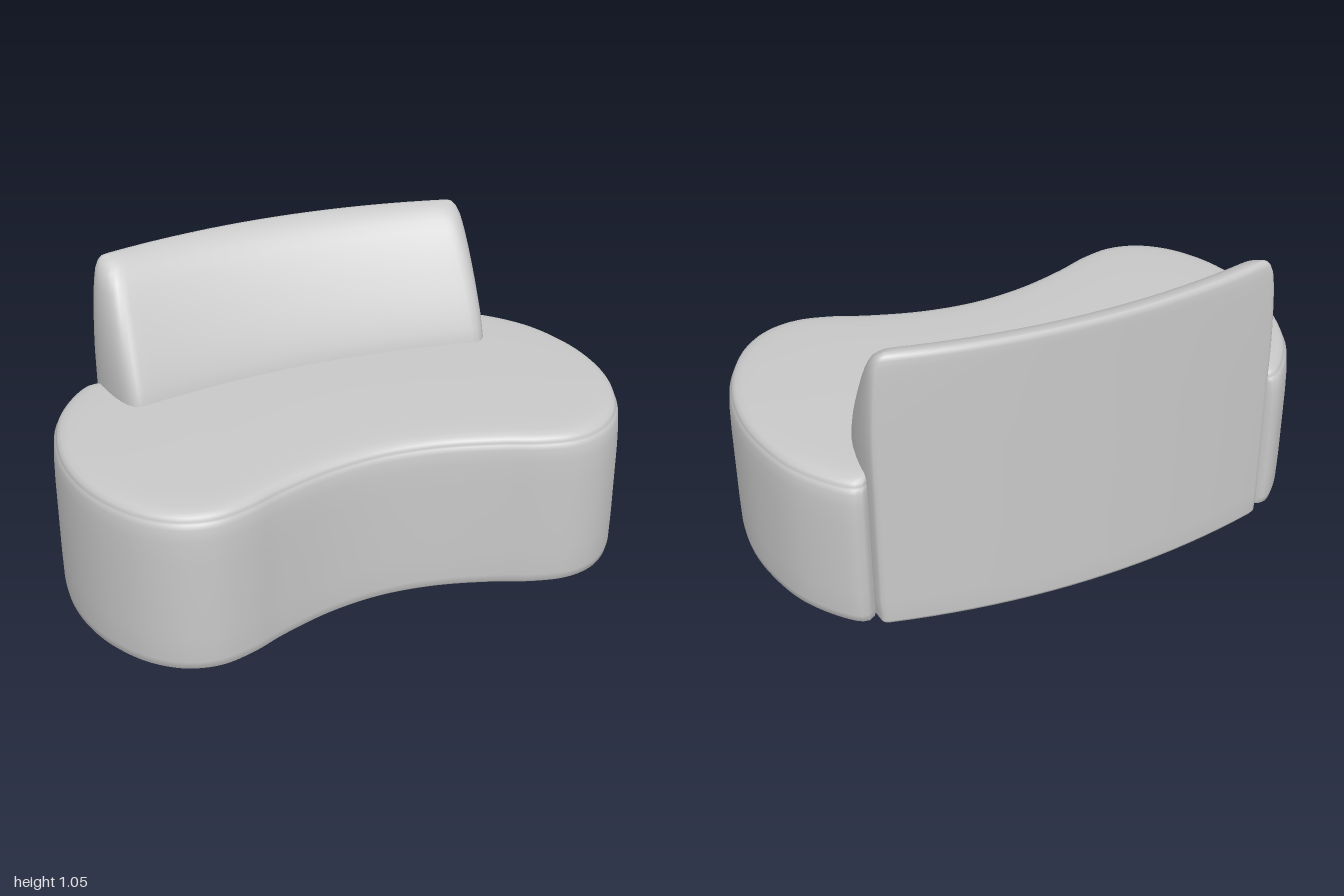
import * as THREE from 'three';

// Skin a stack of closed rings (bottom to top) with smooth normals
function loft(rings, material, name) {
  const n = rings[0].length, index = [];
  for (let r = 0; r < rings.length - 1; r++) {
    for (let i = 0; i < n; i++) {
      const a = r * n + i, b = r * n + (i + 1) % n;
      index.push(a, a + n, b, b, a + n, b + n);
    }
  }
  const geometry = new THREE.BufferGeometry().setFromPoints(rings.flat());
  geometry.setIndex(index);
  geometry.computeVertexNormals();
  const mesh = new THREE.Mesh(geometry, material);
  mesh.name = name;
  return mesh;
}

// Complete a half outline (back centre to front centre) with its mirror image
const mirrored = (half) => [...half, ...half.slice(1, -1).reverse().map(([x, z]) => [-x, z])];

function createSeat(material) {
  // Bean-shaped plan; the back edge is buried in the backrest
  const outline = mirrored([
    [0, -0.5], [0.4, -0.47], [0.67, -0.42], [0.72, -0.44], [0.745, -0.472], [0.775, -0.472],
    [0.84, -0.415], [0.93, -0.28], [0.985, -0.1], [1, 0.05], [0.985, 0.2], [0.94, 0.34],
    [0.86, 0.47], [0.76, 0.55], [0.65, 0.577], [0.53, 0.553], [0.4, 0.5], [0.2, 0.44], [0, 0.418],
  ]);
  const curve = new THREE.CatmullRomCurve3(outline.map(([x, z]) => new THREE.Vector3(x, 0, z)), true);
  const plan = curve.getSpacedPoints(240).slice(0, -1);
  // [pull towards the middle line, height]: wall, seam groove, crowned top
  const profile = [
    [1, 0.01], [0.1, 0.01], [0.04, 0.012], [0.015, 0.022], [0.004, 0.05], [0, 0.15], [0, 0.3],
    [0, 0.42], [0.004, 0.5], [0.013, 0.545], [0.028, 0.56], [0.038, 0.564], [0.034, 0.568],
    [0.046, 0.579], [0.075, 0.589], [0.13, 0.596], [0.25, 0.6], [0.5, 0.604], [1, 0.606],
  ];
  const rings = profile.map(([t, y]) => plan.map((p) => {
    const middle = new THREE.Vector3(p.x * 0.62, 0, -0.02 + 0.22 * p.x * p.x * 0.6);
    return p.clone().lerp(middle, t).setY(y);
  }));
  return loft(rings, material, 'seat');
}

function createBackrest(material) {
  // Plan as [half width, depth fraction from the back face]
  const half = [];
  for (let i = 0; i <= 10; i++) half.push([0.07 * i, 0]);
  half.push([0.713, 0.008], [0.72, 0.035], [0.724, 0.14], [0.725, 0.28], [0.72, 0.45], [0.711, 0.62],
    [0.7, 0.76], [0.688, 0.87], [0.672, 0.95], [0.653, 0.99], [0.63, 1]);
  for (let i = 9; i >= 0; i--) half.push([0.066 * i, 1]);
  const plan = mirrored(half);
  // [height, width scale, back inset, front depth]
  const layers = [
    [0.004, 0.97, 0.16, 0.16], [0.004, 0.975, 0.015, 0.3], [0.008, 0.985, 0.005, 0.32],
    [0.02, 0.993, 0, 0.335], [0.1, 1, 0, 0.34], [0.35, 1, 0, 0.34], [0.55, 1, 0, 0.34],
    [0.6, 1, 0, 0.335], [0.65, 1, 0, 0.318], [0.7, 1, 0, 0.297], [0.75, 0.998, 0, 0.273],
    [0.8, 0.995, 0, 0.247], [0.85, 0.991, 0, 0.219], [0.9, 0.986, 0, 0.19], [0.95, 0.979, 0, 0.157],
    [0.98, 0.973, 0, 0.135], [1.01, 0.965, 0, 0.108], [1.035, 0.95, 0, 0.078],
    [1.049, 0.932, 0.002, 0.05], [1.055, 0.912, 0.008, 0.026], [1.055, 0.905, 0.015, 0.015],
  ];
  const rings = layers.map(([y, scale, inset, depth]) => plan.map(([x, d]) => {
    const bow = 0.09 * (1 - (x / 0.72) ** 2);
    return new THREE.Vector3(x * scale, y, -0.49 - bow + inset + d * (depth - inset));
  }));
  return loft(rings, material, 'backrest');
}

export function createModel() {
  const fabric = new THREE.MeshStandardMaterial({ color: 0xc8c8c8 });
  fabric.name = 'light grey fabric';
  const sofa = new THREE.Group();
  sofa.name = 'curved sofa';
  sofa.add(createSeat(fabric), createBackrest(fabric));
  return sofa;
}
